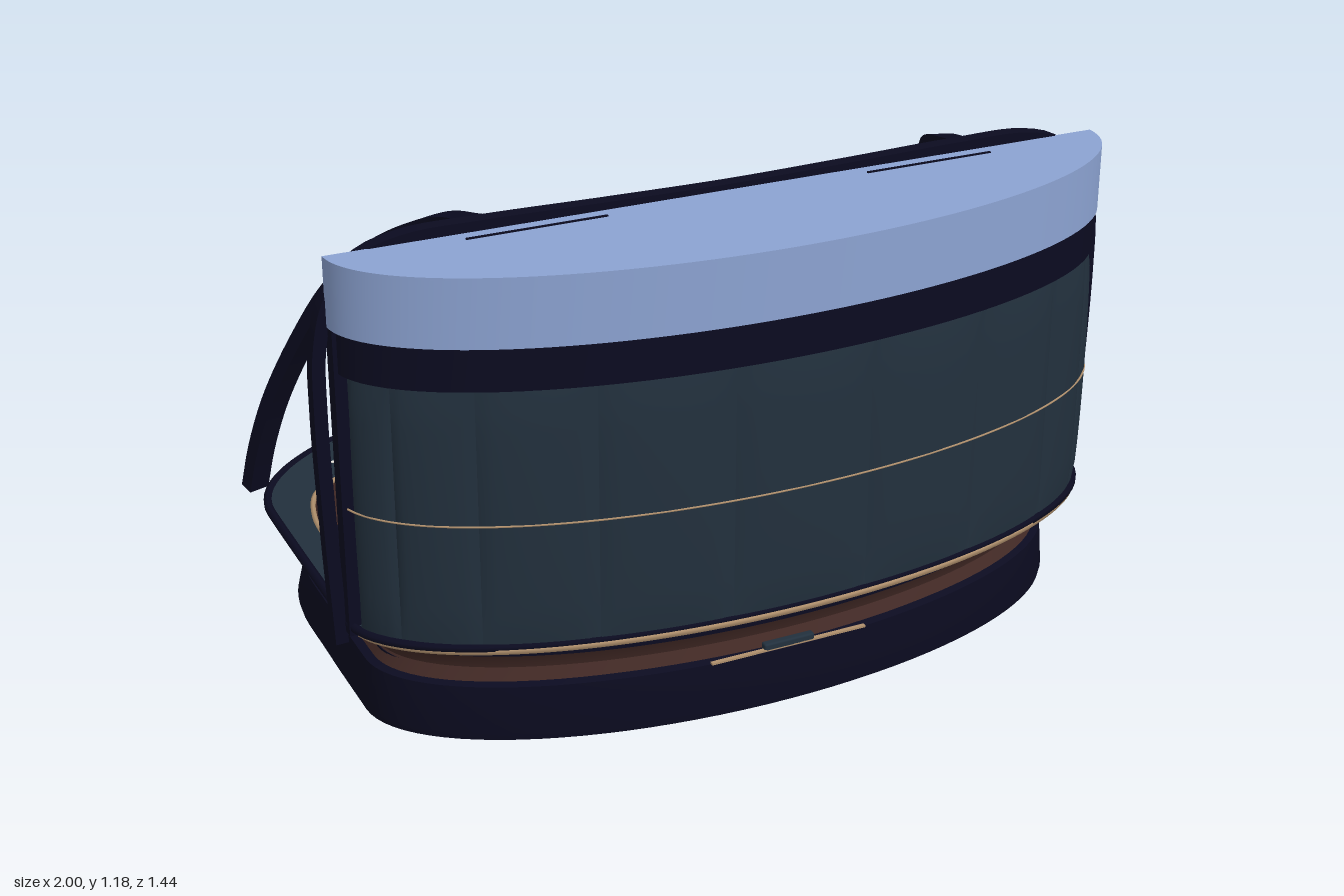
import * as THREE from 'three';
import { toCreasedNormals } from 'three/addons/utils/BufferGeometryUtils.js';
import { RoundedBoxGeometry } from 'three/addons/geometries/RoundedBoxGeometry.js';

const V2 = (x, y) => new THREE.Vector2(x, y);
const V3 = (x, y, z) => new THREE.Vector3(x, y, z);
const ring = (pts, y) => pts.map(p => V3(p.x, y, p.y));

const mat = (name, color) => {
  const m = new THREE.MeshStandardMaterial({ color, side: THREE.DoubleSide });
  m.name = name;
  return m;
};

// Surface through a list of equally long cross-sections
function loft(sections, closed = true, crease = 0.6) {
  const n = sections[0].length, pos = [], idx = [];
  sections.forEach(s => s.forEach(p => pos.push(p.x, p.y, p.z)));
  for (let i = 0; i < sections.length - 1; i++) {
    for (let j = 0; j < (closed ? n : n - 1); j++) {
      const k = (j + 1) % n, a = i * n + j, b = i * n + k;
      idx.push(a, a + n, b, b, a + n, b + n);
    }
  }
  const g = new THREE.BufferGeometry();
  g.setAttribute('position', new THREE.Float32BufferAttribute(pos, 3));
  g.setIndex(idx);
  return toCreasedNormals(g, crease);
}

// Half ellipse at the front, running from +x to -x
function frontArc(w, zc, zf, n = 48, a0 = 0) {
  return Array.from({ length: n + 1 }, (_, i) => {
    const a = a0 + (Math.PI - 2 * a0) * i / n;
    return V2(w * Math.cos(a), zc + (zf - zc) * Math.sin(a));
  });
}

// Hull plan: rounded front, two lobes with a hollow between them at the back
function hull(w, zf, zb) {
  const half = [[1, 0.28], [1, 0], [0.99, zb + 0.2], [0.93, zb + 0.07], [0.77, zb], [0.55, zb + 0.005], [0.27, zb + 0.07]];
  const left = half.map(([x, z]) => V3(x * w, 0, z));
  const right = left.map(p => V3(-p.x, 0, p.z));
  const back = new THREE.CatmullRomCurve3([...right, V3(0, 0, zb + 0.11), ...left.reverse()], false, 'centripetal');
  return [...frontArc(w, 0.28, zf), ...back.getPoints(72).slice(1, -1).map(p => V2(p.x, p.z))];
}

// Deck plan: shallow ellipse at the front, larger ellipse at the back
function deckPlan(w, zf, zb) {
  const back = frontArc(w, 0.24, -zb, 56).map(p => V2(-p.x, -p.y));
  return [...frontArc(w, 0.34, zf), ...back];
}

// Flat plate from a plan outline, its top at y
function plate(pts, y, depth, hole) {
  const s = new THREE.Shape(pts);
  if (hole) s.holes.push(new THREE.Path(hole));
  return new THREE.ExtrudeGeometry(s, { depth, bevelEnabled: false }).rotateX(Math.PI / 2).translate(0, y, 0);
}

const tube = (pts, r, closed = false, seg = 96) =>
  new THREE.TubeGeometry(new THREE.CatmullRomCurve3(pts, closed, 'centripetal'), seg, r, 6, closed);

// Rectangular bar swept along a curve, its width along the side vector
function bar(points, side, width, thick, seg = 64) {
  const c = new THREE.CatmullRomCurve3(points, false, 'centripetal');
  const sections = [];
  for (let i = 0; i <= seg; i++) {
    const p = c.getPointAt(i / seg), t = c.getTangentAt(i / seg);
    const n = t.clone().cross(side).normalize(), b = n.clone().cross(t).normalize();
    sections.push([[-1, -1], [1, -1], [1, 1], [-1, 1]].map(([u, v]) =>
      p.clone().addScaledVector(b, u * width / 2).addScaledVector(n, v * thick / 2)));
  }
  const cap = s => s.map(() => s[0].clone().add(s[2]).multiplyScalar(0.5));
  return loft([cap(sections[0]), ...sections, cap(sections[seg])]);
}

export function createModel() {
  const root = new THREE.Group();
  root.name = 'observationPod';
  const navy = mat('navy', 0x0b0b20), teal = mat('slateTeal', 0x22303d), sky = mat('paleBlue', 0x8ca3d2);
  const brown = mat('brown', 0x432a26), tan = mat('tan', 0xb0906d), cream = mat('cream', 0xe6e2da);
  const add = (name, geo, m, parent = root) => {
    const mesh = new THREE.Mesh(geo, m);
    mesh.name = name;
    parent.add(mesh);
    return mesh;
  };
  const hullLoft = levels => loft(levels.map(([y, w, zf, zb]) => ring(hull(w, zf, zb), y)));

  // Base and hull bands
  add('base', hullLoft([[0, 0.89, 0.655, -0.42], [0.006, 0.905, 0.663, -0.437], [0.025, 0.91, 0.665, -0.435],
    [0.14, 0.9, 0.655, -0.39], [0.147, 0.87, 0.64, -0.37]]), navy);
  add('baseUnderside', plate(hull(0.89, 0.655, -0.42), 0.004, 0.004), navy);
  add('waistBand', hullLoft([[0.145, 0.88, 0.64, -0.37], [0.175, 0.865, 0.625, -0.35], [0.205, 0.875, 0.635, -0.36],
    [0.225, 0.895, 0.65, -0.375]]), brown);
  const hole = hull(0.875, 0.6, -0.37);
  add('lip', plate(hull(0.9, 0.66, -0.385), 0.238, 0.016, hole), navy);
  add('underDeckTrim', hullLoft([[0.236, 0.895, 0.655, -0.38], [0.25, 0.925, 0.685, -0.385], [0.272, 0.94, 0.7, -0.39]]), tan);
  add('baseFrontBadge', new RoundedBoxGeometry(0.13, 0.02, 0.02, 2, 0.005).translate(0, 0.152, 0.647), teal);
  add('baseFrontLine', new THREE.BoxGeometry(0.4, 0.005, 0.01).translate(0, 0.146, 0.652), tan);

  // Deck ledge around a sunken floor
  add('deckLedge', plate(deckPlan(0.95, 0.705, -0.715), 0.284, 0.012, hole), teal);
  add('deckRim', tube(ring(deckPlan(0.952, 0.7, -0.715), 0.28).filter((p, i, a) => !i || p.distanceTo(a[i - 1]) > 0.01).slice(0, -1), 0.011, true, 180), navy);
  add('innerWall', hullLoft([[0.165, 0.865, 0.59, -0.36], [0.28, 0.875, 0.6, -0.37]]), brown);
  add('innerTrim', tube(ring(hole, 0.284), 0.007, true, 200), tan);
  add('floor', plate(hull(0.87, 0.61, -0.37), 0.17, 0.01), navy);
  add('floorLine', tube(frontArc(0.66, 0.2, 0.45).map(p => V3(p.x, 0.171, p.y)), 0.004), cream);
  add('floorRing', new THREE.RingGeometry(0.266, 0.278, 72).rotateX(-Math.PI / 2).translate(0, 0.174, 0.09), cream);
  add('floorRingInner', new THREE.RingGeometry(0.246, 0.256, 72).rotateX(-Math.PI / 2).translate(0, 0.174, 0.09), tan);
  add('ledgeLine', tube([[-0.74, -0.435], [-0.6, -0.44], [-0.42, -0.415], [-0.2, -0.35], [0, -0.322], [0.2, -0.35],
    [0.42, -0.415], [0.6, -0.44], [0.74, -0.435]].map(([x, z]) => V3(x, 0.285, z)), 0.004), cream);

  // Padded front wall, each panel bulging on both faces
  const wallAt = (a, y, off) => V3((0.945 + off) * Math.cos(a), y, 0.34 + (0.363 + off) * Math.sin(a));
  const seamX = [0.948, 0.885, 0.73, 0.48, 0.17, -0.17, -0.48, -0.73, -0.885, -0.948];
  const seams = seamX.map(x => Math.acos(x / 0.957));
  const wall = new THREE.Group();
  wall.name = 'frontWall';
  root.add(wall);
  for (let i = 0; i < seams.length - 1; i++) {
    for (const [face, dir] of [['outer', 1], ['inner', -1]]) {
      const sections = Array.from({ length: 13 }, (_, k) => {
        const u = k / 12, a = seams[i] + (seams[i + 1] - seams[i]) * u;
        return Array.from({ length: 13 }, (_, j) => {
          const v = j / 12, puff = Math.pow(Math.sin(Math.PI * u) * Math.sin(Math.PI * v) + 1e-6, 0.4);
          return wallAt(a, 0.28 + 0.622 * v, dir * (0.002 + 0.013 * puff));
        });
      });
      add(face + 'Panel', loft(sections, false, 1), teal, wall);
    }
  }
  for (const a of seams.slice(1, -1))
    add('innerSeam', tube([wallAt(a, 0.29, -0.006), wallAt(a, 0.6, -0.006), wallAt(a, 0.9, -0.006)], 0.004, false, 4), cream, wall);
  const arcLine = (y, off) => Array.from({ length: 61 }, (_, i) => wallAt(0.12 + (Math.PI - 0.24) * i / 60, y, off));
  add('outerPiping', tube(arcLine(0.585, 0.0145), 0.0025, false, 120), tan, wall);
  add('innerPiping', tube(arcLine(0.585, -0.0145), 0.004, false, 120), tan, wall);
  add('wallFootTrim', tube(arcLine(0.285, -0.012), 0.013, false, 120), tan, wall);
  add('wallFootOuterTrim', tube(arcLine(0.272, 0), 0.011, false, 120), tan, wall);
  const band = (off, y0, y1) => [y0, y1].map(y => frontArc(0.95 + off, 0.34, 0.708 + off).map(p => V3(p.x, y, p.y)));
  const [bo, bt] = band(0.004, 0.9, 1.002), [io, it] = band(-0.02, 0.9, 1.002);
  add('topBand', loft([io, bo, bt, it, io], false), navy, wall);
  add('topBandLine', tube(it, 0.004), cream, wall);
  for (const s of [-1, 1])
    add('wallEnd', new THREE.BoxGeometry(0.03, 0.74, 0.04).translate(s * 0.945, 0.63, 0.35), navy, wall);

  // Hollow cap over the wall
  const capArc = frontArc(0.962, 0.34, 0.72, 64);
  add('capSide', loft([ring(capArc, 1), ring(capArc, 1.16)], false), sky);
  add('capTop', plate(capArc, 1.16, 0.006), sky);
  for (const s of [-1, 1])
    add('capSlot', new THREE.BoxGeometry(0.33, 0.004, 0.006).translate(s * 0.49, 1.161, 0.38), navy);

  // Main arch and the two swept ribs
  const archHalf = [[0.97, 0.23], [0.98, 0.5], [0.986, 0.8], [0.98, 0.95], [0.95, 1.06], [0.88, 1.135], [0.78, 1.165], [0.6, 1.168], [0.3, 1.162]];
  const arch = [...archHalf.map(([x, y]) => V3(x, y, 0.325)), V3(0, 1.158, 0.325), ...archHalf.reverse().map(([x, y]) => V3(-x, y, 0.325))];
  add('arch', bar(arch, V3(0, 0, 1), 0.036, 0.03, 120), navy);
  const rib = [[0.61, 1.162, 0.31], [0.64, 1.125, 0.17], [0.72, 1.03, 0.01], [0.79, 0.9, -0.115], [0.845, 0.74, -0.22],
    [0.9, 0.55, -0.315], [0.93, 0.4, -0.37], [0.945, 0.28, -0.405]];
  for (const s of [-1, 1])
    add('sweptRib', bar(rib.map(([x, y, z]) => V3(s * x, y, z)), V3(1, 0, s * 0.35), 0.055, 0.036), navy);

  // Round fittings on the hull
  for (const [x, z, r] of [[0.83, -0.31, 0.026], [-0.83, -0.31, 0.026], [0, -0.265, 0.03]]) {
    add('fitting', new THREE.CylinderGeometry(r, r, 0.05, 20).rotateX(Math.PI / 2).translate(x, 0.19, z), navy);
    add('fittingRing', new THREE.TorusGeometry(r * 0.6, 0.004, 6, 20).translate(x, 0.19, z - 0.026), tan);
  }

  // Seat facing the open back
  const seat = new THREE.Group();
  seat.name = 'seat';
  root.add(seat);
  const pad = (name, w, h, d, x, y, z, m, tilt = 0) => {
    const p = add(name, new RoundedBoxGeometry(w, h, d, 3, Math.min(w, h, d) * 0.3), m, seat);
    p.position.set(x, y, z);
    p.rotation.x = tilt;
  };
  add('seatPost', new THREE.CylinderGeometry(0.05, 0.08, 0.06, 24).translate(0, 0.2, 0.1), navy, seat);
  pad('seatPan', 0.26, 0.03, 0.26, 0, 0.232, 0.1, navy);
  pad('seatFrontRoll', 0.14, 0.03, 0.03, 0, 0.248, -0.03 + 0.01, tan);
  for (let i = 0; i < 4; i++) {
    pad('cushionRow', 0.15, 0.03, 0.05, 0, 0.258, 0.015 + i * 0.048, tan);
    pad('backRow', 0.15, 0.053, 0.04, 0, 0.305 + i * 0.051, 0.208 + i * 0.009, tan, 0.17);
  }
  pad('backShell', 0.2, 0.23, 0.025, 0, 0.385, 0.247, tan, 0.17);
  for (const s of [-1, 1]) {
    pad('cushionBolster', 0.04, 0.045, 0.25, s * 0.097, 0.262, 0.09, tan);
    pad('backBolster', 0.035, 0.22, 0.055, s * 0.09, 0.39, 0.222, tan, 0.17);
    pad('armrest', 0.035, 0.02, 0.19, s * 0.165, 0.302, 0.1, teal);
    pad('armrestPad', 0.024, 0.01, 0.11, s * 0.165, 0.313, 0.11, tan);
    pad('armrestPost', 0.02, 0.07, 0.03, s * 0.15, 0.265, 0.15, navy);
    add('armrestDial', new THREE.TorusGeometry(0.011, 0.003, 6, 20).rotateX(Math.PI / 2).translate(s * 0.165, 0.315, 0.02), cream, seat);
  }
  pad('headrestStem', 0.05, 0.09, 0.018, 0, 0.53, 0.255, navy);
  pad('headrest', 0.13, 0.085, 0.035, 0, 0.605, 0.244, tan);
  pad('headrestBack', 0.11, 0.09, 0.02, 0, 0.61, 0.262, navy);

  // Tilted console in front of the seat
  const con = new THREE.Group();
  con.name = 'console';
  con.position.set(0, 0.312, -0.195);
  con.rotation.x = 0.55;
  root.add(con);
  const edge = new THREE.SplineCurve([[-0.38, 0.02], [-0.34, -0.045], [-0.2, -0.065], [0, -0.068], [0.2, -0.065], [0.34, -0.045],
    [0.38, 0.02], [0.3, 0.052], [0.15, 0.05], [0, 0.045], [-0.15, 0.05], [-0.3, 0.052], [-0.38, 0.02]].map(p => V2(...p))).getPoints(72).slice(0, -1);
  add('consolePanel', plate(edge, 0.015, 0.03), navy, con);
  add('consoleEdge', tube(ring(edge, -0.012), 0.005, true, 120), tan, con);
  add('consoleStrip', new THREE.BoxGeometry(0.36, 0.006, 0.008).translate(0, 0.017, 0.038), tan, con);
  for (const s of [-1, 1]) {
    add('consoleGrip', new RoundedBoxGeometry(0.07, 0.014, 0.04, 2, 0.005).translate(s * 0.325, 0.018, 0.008), tan, con);
    add('consoleDial', new THREE.TorusGeometry(0.015, 0.003, 6, 24).rotateX(Math.PI / 2).translate(s * 0.24, 0.016, 0), cream, con);
    add('consoleBracket', new THREE.BoxGeometry(0.02, 0.02, 0.1).translate(s * 0.12, -0.02, -0.06), navy, con);
  }
  add('consolePost', new THREE.CylinderGeometry(0.03, 0.05, 0.14, 20).translate(0, 0.235, -0.195), navy);
  return root;
}
